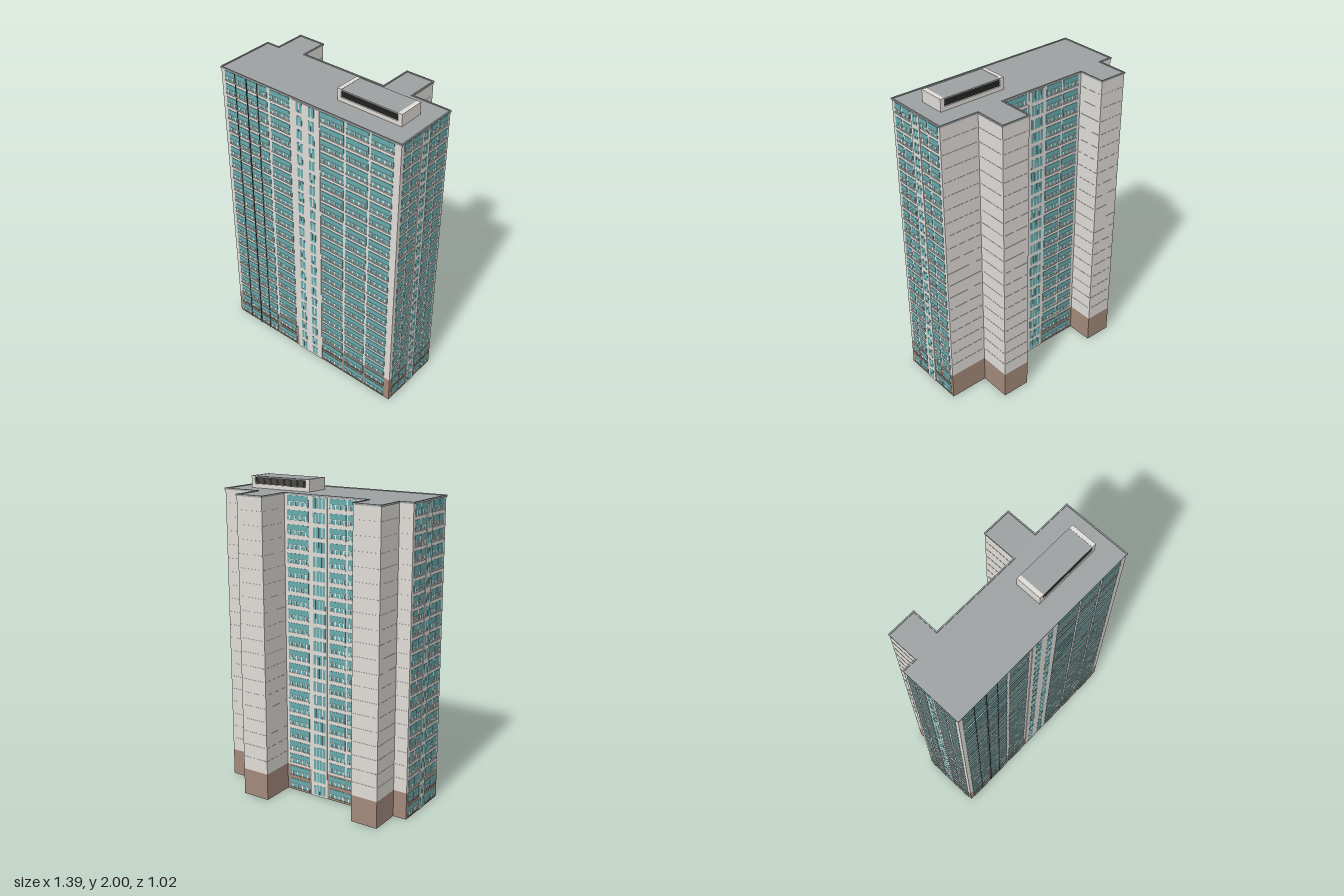
import * as THREE from 'three';
import { mergeGeometries } from 'three/addons/utils/BufferGeometryUtils.js';

const FLOORS = 22, STOREY = 0.0875, TOP = FLOORS * STOREY, BASE = 2 * STOREY;

// Footprint corners (along the front, depth to the back), counterclockwise from the front right
const PLAN = [[0, 0], [1.305, 0], [1.305, 0.44], [1.05, 0.44], [1.05, 0.645], [0.865, 0.645],
  [0.865, 0.423], [0.271, 0.423], [0.271, 0.595], [0.09, 0.595], [0.09, 0.395], [0, 0.395]];

// Windowed walls by edge number: window bays, stair strips and drain pipes, measured along the wall
const FACADES = {
  0: {
    name: 'frontFacade',
    bays: [[0.028, 0.194], [0.21, 0.36], [0.382, 0.53], [0.758, 0.924], [0.942, 1.095], [1.112, 1.261]],
    stairs: [[0.553, 0.753, [0.583, 0.673]]],
    pipes: [0.111, 0.202, 0.285]
  },
  1: {
    name: 'leftEndFacade',
    bays: [[0.026, 0.086], [0.1, 0.168], [0.265, 0.326], [0.34, 0.42]],
    stairs: [[0.18, 0.255, [0.195]]], pipes: []
  },
  6: {
    name: 'backFacade',
    bays: [[0.02, 0.175], [0.325, 0.442], [0.455, 0.573]],
    stairs: [[0.19, 0.31, [0.21, 0.255]]], pipes: []
  },
  11: {
    name: 'rightEndFacade',
    bays: [[0.022, 0.08], [0.092, 0.15], [0.235, 0.298], [0.31, 0.372]],
    stairs: [[0.16, 0.225, [0.172]]], pipes: []
  }
};

function makeMaterials() {
  const colours = {
    wall: 0xe0ddd8, brownBase: 0xa38a7b, glass: 0x67abad, frame: 0xf0f0ee,
    darkTrim: 0x4a4947, roof: 0x9da1a2
  };
  const m = {};
  for (const [name, color] of Object.entries(colours)) {
    m[name] = new THREE.MeshStandardMaterial({ color });
    m[name].name = name;
  }
  return m;
}

// Gathers boxes by colour and part, then merges each set into one mesh
function boxSet(group, mats) {
  const sets = {};
  return {
    // x0..x1 and y0..y1 on the wall, z0..z1 outward
    add(part, mat, x0, x1, y0, y1, z0, z1) {
      const g = new THREE.BoxGeometry(x1 - x0, y1 - y0, z1 - z0);
      g.translate((x0 + x1) / 2, (y0 + y1) / 2, (z0 + z1) / 2);
      const key = part + '|' + mat;
      (sets[key] ||= []).push(g);
    },
    finish() {
      for (const [key, list] of Object.entries(sets)) {
        const [part, mat] = key.split('|');
        const mesh = new THREE.Mesh(mergeGeometries(list), mats[mat]);
        mesh.name = part;
        group.add(mesh);
      }
    }
  };
}

// One storey of one window bay
function addBay(b, a, c, y, wallMat) {
  const y0 = y + 0.018, y1 = y + 0.077, w = c - a;
  b.add('windowGlass', 'glass', a, c, y0, y1, -0.002, 0.002);
  b.add(wallMat === 'wall' ? 'sill' : 'baseSill', wallMat, a, c, y0 - 0.008, y0, -0.002, 0.006);
  // White rail with posts below it
  b.add('rail', 'frame', a, c, y0 + 0.022, y0 + 0.025, 0, 0.004);
  const n = w > 0.1 ? 4 : 2;
  for (let k = 0; k < n; k++) {
    const x = a + w * (k + 0.5) / n;
    b.add('railPost', 'frame', x - 0.004, x + 0.004, y0, y0 + 0.022, 0, 0.004);
  }
}

function addFacade(b, spec) {
  for (const [a, c, windows] of spec.stairs) {
    b.add('stairStrip', 'wall', a, c, 0, TOP - 0.008, -0.002, 0.004);
    // Paired narrow stair windows
    for (let i = 0; i < FLOORS; i++) for (const x of windows) for (const dx of [0, 0.024])
      b.add('stairWindow', 'glass', x + dx, x + dx + 0.018,
        i * STOREY + 0.012, i * STOREY + 0.075, 0.003, 0.005);
  }
  for (let i = 0; i < FLOORS; i++)
    for (const [a, c] of spec.bays) addBay(b, a, c, i * STOREY, i < 2 ? 'brownBase' : 'wall');
  for (const x of spec.pipes)
    b.add('drainPipe', 'darkTrim', x - 0.0015, x + 0.0015, 0, TOP - 0.008, 0, 0.006);
}

// Plain wall with a fine ledge at every storey
function addBlankWall(b, length) {
  for (let i = 3; i < FLOORS; i++)
    b.add('storeyLedge', 'wall', 0.01, length - 0.01, i * STOREY - 0.001, i * STOREY + 0.001, -0.001, 0.0015);
}

export function createModel() {
  const mats = makeMaterials();
  const model = new THREE.Group();
  model.name = 'apartmentTower';
  const tower = new THREE.Group();
  tower.name = 'tower';
  tower.position.set(-0.69, 0, 0.01);
  tower.rotation.y = -22 * Math.PI / 180;
  model.add(tower);

  // Solid storeys: brown base, pale shaft
  const shape = new THREE.Shape(PLAN.map(p => new THREE.Vector2(p[0], p[1])));
  const storeys = (name, y0, y1, cap, side) => {
    const g = new THREE.ExtrudeGeometry(shape, { depth: y1 - y0, bevelEnabled: false });
    g.rotateX(-Math.PI / 2);
    g.translate(0, y0, 0);
    const mesh = new THREE.Mesh(g, [cap, side]);
    mesh.name = name;
    tower.add(mesh);
  };
  storeys('base', 0, BASE, mats.wall, mats.brownBase);
  storeys('shaft', BASE, TOP, mats.roof, mats.wall);

  // Walls, each in its own frame: x along the wall, z outward
  PLAN.forEach((p, i) => {
    const q = PLAN[(i + 1) % PLAN.length];
    const du = q[0] - p[0], dv = q[1] - p[1], length = Math.hypot(du, dv);
    const wall = new THREE.Group();
    wall.name = FACADES[i] ? FACADES[i].name : 'blankWall';
    wall.position.set(p[0], 0, -p[1]);
    wall.rotation.y = Math.atan2(dv, du);
    const b = boxSet(wall, mats);
    if (FACADES[i]) addFacade(b, FACADES[i]);
    else addBlankWall(b, length);
    b.add('roofEdge', 'roof', -0.004, length + 0.004, TOP - 0.006, TOP + 0.005, -0.004, 0.004);
    b.finish();
    tower.add(wall);
  });

  // Rooftop plant room with louvred long sides
  const plant = new THREE.Group();
  plant.name = 'plantRoom';
  const b = boxSet(plant, mats);
  const u0 = 0.761, u1 = 1.2, z0 = -0.309, z1 = -0.141, a = u0 + 0.027, c = u1 - 0.027;
  b.add('plantEnd', 'wall', u0, a, TOP, 2, z0, z1);
  b.add('plantEnd', 'wall', c, u1, TOP, 2, z0, z1);
  b.add('plantCore', 'darkTrim', a, c, TOP, 1.99, z0 + 0.008, z1 - 0.008);
  b.add('plantRoof', 'roof', a, c, 1.99, 1.999, z0, z1);
  for (const z of [z0, z1 - 0.008]) {
    b.add('plantPlinth', 'wall', a, c, TOP, 1.95, z, z + 0.008);
    for (let k = 0; k < 4; k++)
      b.add('louvre', 'darkTrim', a, c, 1.955 + k * 0.009, 1.957 + k * 0.009, z + 0.001, z + 0.007);
  }
  b.finish();
  tower.add(plant);
  return model;
}
